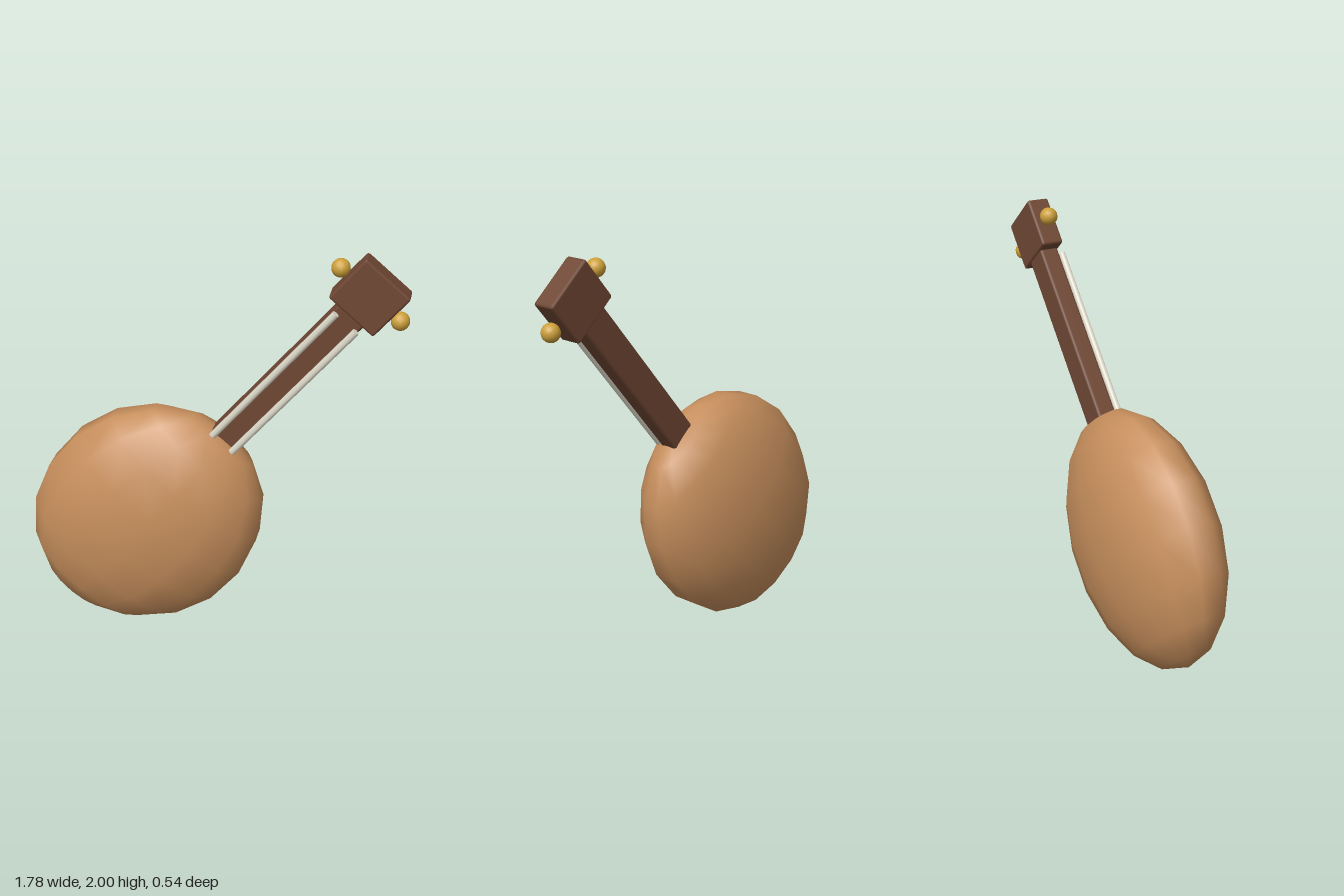
import * as THREE from 'three';
import { RoundedBoxGeometry } from 'three/addons/geometries/RoundedBoxGeometry.js';

const material = (name, color) => {
  const m = new THREE.MeshStandardMaterial({ color });
  m.name = name;
  return m;
};

export function createModel() {
  const tan = material('tan wood', 0xc68e5c);
  const brown = material('dark wood', 0x6f4733);
  const ivory = material('string ivory', 0xdcd8c8);
  const brass = material('brass', 0xcda03a);

  // Everything is built upright around the body centre, then leaned over.
  const lute = new THREE.Group();
  lute.name = 'lute';
  const add = (name, geometry, mat, x, y, z) => {
    const mesh = new THREE.Mesh(geometry, mat);
    mesh.name = name;
    mesh.position.set(x, y, z);
    lute.add(mesh);
    return mesh;
  };

  // Egg-shaped body, poles along the neck
  const bodyShape = new THREE.SphereGeometry(1, 14, 9);
  bodyShape.rotateY(Math.PI / 2);
  bodyShape.scale(0.543, 0.628, 0.273);
  add('body', bodyShape, tan, 0, 0, 0);

  // Neck and peg head with softened edges
  add('neck', new RoundedBoxGeometry(0.15, 0.93, 0.093, 1, 0.013), brown, 0, 1.055, 0);
  add('pegHead', new RoundedBoxGeometry(0.268, 0.246, 0.11, 1, 0.012), brown, 0, 1.609, 0);

  // A string and a tuning peg on each side
  for (const [side, s] of [['left', 1], ['right', -1]]) {
    add(side + 'String', new THREE.CylinderGeometry(0.018, 0.018, 0.86, 6), ivory, s * 0.06, 1.03, 0.067);
    add(side + 'Peg', new THREE.SphereGeometry(0.043, 14, 10), brass, s * 0.178, 1.61, 0);
  }

  lute.position.set(-0.325, 0.59, 0);
  lute.rotation.z = -THREE.MathUtils.degToRad(40);

  const model = new THREE.Group();
  model.name = 'stringInstrument';
  model.add(lute);
  return model;
}
